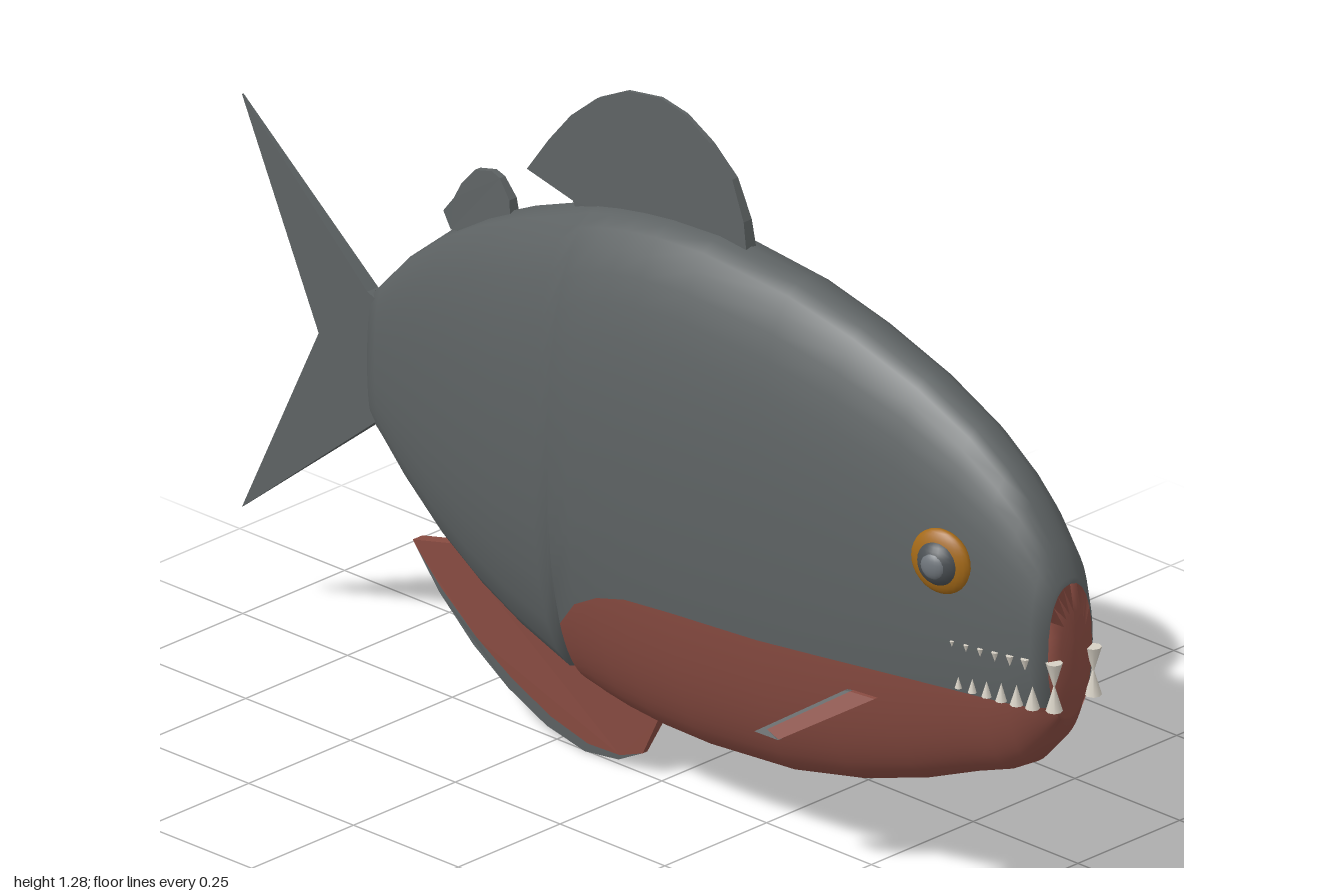
import * as THREE from 'three';

const material = (name, color) => new THREE.MeshStandardMaterial({ name, color });

// Body stations from nose to tail: z, top y, bottom y, half width, colour boundary y
const STATIONS = [
  [0.987, 0.58, 0.5, 0.012, 1], [0.983, 0.63, 0.47, 0.032, 1], [0.974, 0.68, 0.43, 0.054, 1],
  [0.972, 0.69, 0.425, 0.058, 0.46], [0.95, 0.745, 0.38, 0.074, 0.46], [0.9, 0.815, 0.325, 0.085, 0.458],
  [0.85, 0.862, 0.297, 0.094, 0.456], [0.77, 0.918, 0.268, 0.104, 0.452], [0.65, 0.975, 0.218, 0.115, 0.444],
  [0.5, 1.025, 0.17, 0.126, 0.432], [0.35, 1.06, 0.138, 0.136, 0.42], [0.15, 1.08, 0.124, 0.143, 0.41],
  [0.04, 1.075, 0.126, 0.143, 0.4], [-0.03, 1.067, 0.133, 0.142, 0.38], [-0.09, 1.057, 0.143, 0.14, 0.347],
  [-0.14, 1.046, 0.154, 0.137, 0.29], [-0.18, 1.035, 0.164, 0.133, 0.1], [-0.3, 0.99, 0.205, 0.116, 0],
  [-0.4, 0.942, 0.25, 0.096, 0], [-0.5, 0.882, 0.31, 0.073, 0], [-0.6, 0.8, 0.388, 0.045, 0],
  [-0.66, 0.735, 0.445, 0.027, 0], [-0.683, 0.71, 0.465, 0.021, 0], [-0.684, 0.71, 0.465, 0, 0],
];
const ROUND = 0.88;
const soft = (v) => Math.sign(v) * Math.abs(v) ** ROUND;

// Half width of the body at a given z and y
function surfaceX(z, y) {
  const i = Math.max(1, STATIONS.findIndex((s) => s[0] <= z));
  const a = STATIONS[i - 1], b = STATIONS[i];
  const t = THREE.MathUtils.clamp((z - a[0]) / (b[0] - a[0]), 0, 1);
  const [, top, bottom, w] = a.map((v, k) => v + (b[k] - v) * t);
  const v = THREE.MathUtils.clamp((2 * y - top - bottom) / (top - bottom), -1, 1);
  const c = Math.abs(v) ** (1 / ROUND);
  return w * Math.sqrt(1 - c * c) ** ROUND;
}

// Loft whose rings all split at the colour boundary, so both colours share smooth normals
function bodyGeometry() {
  const N = 24, ring = N * 2, pos = [], upper = [], lower = [];
  for (const [z, top, bottom, w, edge] of STATIONS) {
    const cy = (top + bottom) / 2, ry = (top - bottom) / 2;
    const v = THREE.MathUtils.clamp((edge - cy) / ry, -1, 1);
    const split = Math.acos(Math.sign(v) * Math.abs(v) ** (1 / ROUND));
    for (let j = 0; j < ring; j++) {
      const a = j <= N ? -split + 2 * split * j / N
        : split + 2 * (Math.PI - split) * (j - N) / N;
      pos.push(w * soft(Math.sin(a)), cy + ry * soft(Math.cos(a)), z);
    }
  }
  for (let i = 0; i < STATIONS.length - 1; i++) {
    for (let j = 0; j < ring; j++) {
      const a = i * ring + j, b = i * ring + (j + 1) % ring;
      (j < N ? upper : lower).push(a, b, a + ring, b, b + ring, a + ring);
    }
  }
  // Close the nose tip
  for (let j = 1; j < ring - 1; j++) lower.push(0, j + 1, j);
  const g = new THREE.BufferGeometry();
  g.setAttribute('position', new THREE.Float32BufferAttribute(pos, 3));
  g.setIndex([...upper, ...lower]);
  g.addGroup(0, upper.length, 0);
  g.addGroup(upper.length, lower.length, 1);
  g.computeVertexNormals();
  return g;
}

// Plate from a (z, y) outline; half gives its half thickness, shift its x offset
function finGeometry(outline, half, shift = () => 0) {
  const shape = new THREE.Shape(outline.map(([z, y]) => new THREE.Vector2(z, y)));
  const g = new THREE.ExtrudeGeometry(shape, { depth: 2, bevelEnabled: false });
  g.translate(0, 0, -1).rotateY(-Math.PI / 2);
  const p = g.attributes.position;
  for (let i = 0; i < p.count; i++) {
    const y = p.getY(i), z = p.getZ(i);
    p.setX(i, p.getX(i) * half(y, z) + shift(y, z));
  }
  g.computeVertexNormals();
  return g;
}

export function createModel() {
  const grey = material('slate grey skin', 0x5d6263);
  const red = material('belly red', 0x884b41);
  const amber = material('amber eye ring', 0xa56a18);
  const dark = material('dark eye', 0x4b5054);
  const pale = material('pale pupil', 0x70767c);
  const ivory = material('ivory teeth', 0xd6d0c4);

  const fish = new THREE.Group();
  fish.name = 'fish';
  const add = (name, geometry, mat, parent = fish) => {
    const m = new THREE.Mesh(geometry, mat);
    m.name = name;
    parent.add(m);
    return m;
  };
  const taper = (v, from, to, a, b) => THREE.MathUtils.clamp(THREE.MathUtils.mapLinear(v, from, to, a, b), Math.min(a, b), Math.max(a, b));

  add('body', bodyGeometry(), [grey, red]);

  // Fins on the centre line
  add('tailFin', finGeometry(
    [[-0.66, 0.7], [-0.69, 0.71], [-1, 0.98], [-0.81, 0.593], [-1, 0.205], [-0.69, 0.455], [-0.66, 0.48]],
    (y, z) => taper(z, -0.68, -1, 0.014, 0.002)), grey);
  add('dorsalFin', finGeometry(
    [[0.215, 1.06], [0.205, 1.12], [0.175, 1.19], [0.12, 1.24], [0.06, 1.275], [0, 1.287], [-0.08, 1.275],
      [-0.15, 1.24], [-0.21, 1.19], [-0.26, 1.13], [-0.31, 1.06], [-0.2, 1.035], [-0.18, 1], [0, 1.03]],
    (y) => taper(y, 1.05, 1.285, 0.013, 0.003)), grey);
  add('rearDorsalFin', finGeometry(
    [[-0.35, 0.95], [-0.355, 0.985], [-0.38, 1.018], [-0.4, 1.025], [-0.44, 1.015], [-0.47, 0.98],
      [-0.485, 0.95], [-0.508, 0.92], [-0.49, 0.89], [-0.42, 0.9]],
    (y) => taper(y, 0.92, 1.025, 0.014, 0.006)), grey);

  // Anal fin with a grey rim along its lower curve
  const outer = [[-0.04, 0.045], [-0.1, 0.014], [-0.18, 0.004], [-0.27, 0.024], [-0.36, 0.068], [-0.44, 0.125], [-0.52, 0.2], [-0.575, 0.268]];
  const inner = outer.map(([z, y], i) => [z + 0.01 * Math.sin(Math.PI * i / 7), y + 0.022 * Math.sin(Math.PI * i / 7)]);
  const analHalf = (y) => taper(y, 0.16, 0, 0.012, 0.003);
  add('analFin', finGeometry([[0, 0.15], [0, 0.12], ...inner, [-0.583, 0.278], [-0.49, 0.3], [-0.4, 0.3], [-0.2, 0.2]], analHalf), red);
  add('analFinRim', finGeometry([...outer, ...inner.slice(1, -1).reverse()], analHalf), grey);

  for (const side of [1, -1]) {
    const label = side > 0 ? 'left' : 'right';

    // Pectoral fin leaning outwards, with a grey trailing edge
    const lean = (y) => side * (0.112 + (0.39 - y) * 0.55);
    add(label + 'PectoralFin', finGeometry(
      [[0.62, 0.39], [0.563, 0.387], [0.418, 0.288], [0.45, 0.28]], () => 0.004, lean), red);
    add(label + 'PectoralFinEdge', finGeometry(
      [[0.563, 0.387], [0.55, 0.385], [0.393, 0.278], [0.45, 0.279], [0.418, 0.288]], () => 0.004, lean), grey);

    // Eye: flattened ring, ball and pupil
    const eye = new THREE.Group();
    eye.name = label + 'Eye';
    eye.position.set(side * 0.104, 0.692, 0.768);
    eye.rotation.y = side * (Math.PI / 2 - 0.2);
    fish.add(eye);
    add('eyeRing', new THREE.SphereGeometry(0.06, 24, 16).scale(1, 1, 0.35), amber, eye);
    add('eyeBall', new THREE.SphereGeometry(0.043, 20, 14).scale(1, 1, 0.75), dark, eye).position.z = 0.003;
    add('pupil', new THREE.SphereGeometry(0.025, 16, 12).scale(1, 1, 0.5), pale, eye).position.z = 0.025;

    // Teeth: a fang pair in front, then rows shrinking towards the jaw corner
    const tooth = (z, y, r, h, down) => {
      const g = new THREE.ConeGeometry(r, h, 8);
      if (down) g.rotateX(Math.PI);
      add(label + 'Tooth', g, ivory).position.set(side * (surfaceX(z, y) + 0.002), y, z);
    };
    for (const [y, down] of [[0.525, true], [0.485, false]]) {
      const fang = new THREE.ConeGeometry(0.015, 0.05, 8);
      if (down) fang.rotateX(Math.PI);
      add(label + 'Fang', fang, ivory).position.set(side * 0.048, y, 0.983);
    }
    for (let i = 0; i < 6; i++) {
      const z = 0.952 - i * 0.03, k = 1 - i * 0.1;
      tooth(z, 0.462 + 0.021 * k, 0.013 * k, 0.042 * k, false);
      tooth(z - 0.01, 0.543, 0.008 * k, 0.022 * k, true);
    }
  }
  return fish;
}
